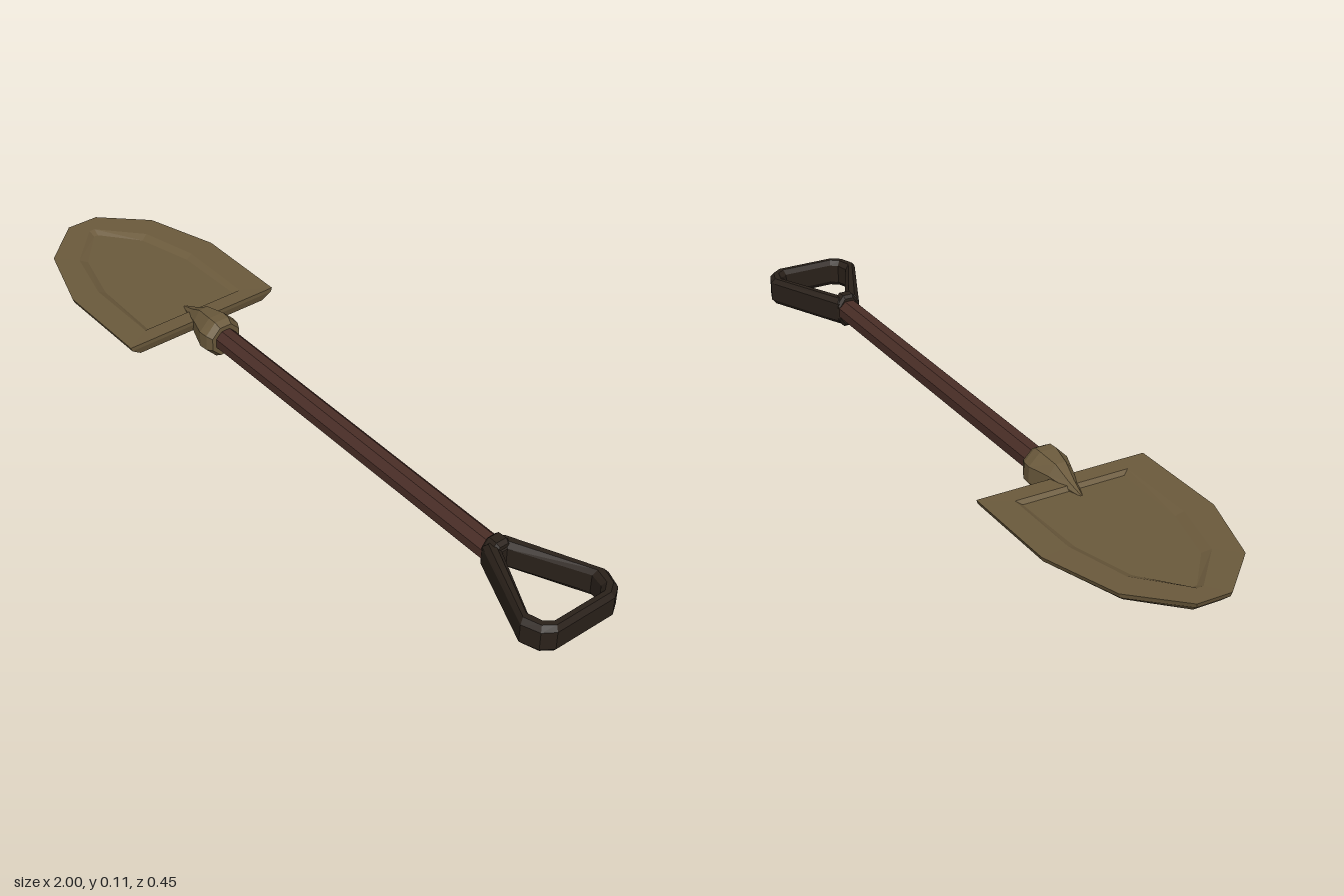
import * as THREE from 'three';

const AXIS = 0.055; // height of the shaft's centre line

const mat = (color) => new THREE.MeshStandardMaterial({ color, flatShading: true, roughness: 0.8 });

// Faceted skin through equal-length rings; either capped at both ends or joined into a loop
function loft(rings, loop = false) {
  const pos = [];
  const tri = (a, b, c) => pos.push(...a, ...b, ...c);
  const n = rings[0].length;
  const spans = loop ? rings.length : rings.length - 1;
  for (let k = 0; k < spans; k++) {
    const r0 = rings[k], r1 = rings[(k + 1) % rings.length];
    for (let i = 0; i < n; i++) {
      const j = (i + 1) % n;
      tri(r0[i], r1[i], r1[j]);
      tri(r0[i], r1[j], r0[j]);
    }
  }
  if (!loop) {
    const cap = (ring, flip) => {
      const mid = [0, 1, 2].map((k) => ring.reduce((s, p) => s + p[k], 0) / n);
      ring.forEach((p, i) => {
        const q = ring[(i + 1) % n];
        flip ? tri(mid, q, p) : tri(mid, p, q);
      });
    };
    cap(rings[0], false);
    cap(rings[rings.length - 1], true);
  }
  const geo = new THREE.BufferGeometry();
  geo.setAttribute('position', new THREE.Float32BufferAttribute(pos, 3));
  geo.computeVertexNormals();
  return geo;
}

// Mirror half an outline of [x, z] points across z = 0
const mirrored = (half) => [...half, ...half.map(([x, z]) => [x, -z]).reverse()];

// Eight-sided ring around the shaft axis
function axisRing(x, ry, rz) {
  return Array.from({ length: 8 }, (_, i) => {
    const a = (i * Math.PI) / 4 + Math.PI / 8;
    const s = 1 / Math.cos(Math.PI / 8);
    return [x, AXIS + ry * s * Math.cos(a), -rz * s * Math.sin(a)];
  });
}

export function createModel() {
  const model = new THREE.Group();
  const metal = mat(0x6b5a3c), wood = mat(0x4a2e27), dark = mat(0x2a211a);
  const add = (name, geo, material) => {
    const mesh = new THREE.Mesh(geo, material);
    mesh.name = name;
    model.add(mesh);
    return mesh;
  };

  // Blade: bevelled underside, flat rim and a shallow dished top
  const bladeLevels = [
    [0.037, [[-0.415, 0.195], [-0.68, 0.195], [-0.87, 0.14], [-0.975, 0.035]]],
    [0.057, [[-0.41, 0.222], [-0.69, 0.222], [-0.89, 0.158], [-0.997, 0.043]]],
    [0.068, [[-0.41, 0.226], [-0.69, 0.226], [-0.89, 0.162], [-1, 0.045]]],
    [0.067, [[-0.455, 0.152], [-0.68, 0.152], [-0.84, 0.11], [-0.95, 0.008]]],
    [0.058, [[-0.465, 0.137], [-0.675, 0.132], [-0.83, 0.09], [-0.93, 0.006]]],
  ];
  add('blade', loft(bladeLevels.map(([y, half]) => mirrored(half).map(([x, z]) => [x, y, z]))), metal);

  // Socket: swells from a point on the blade to the shaft
  const socketRings = [
    [-0.495, 0.004, 0.004], [-0.45, 0.021, 0.018], [-0.405, 0.044, 0.033],
    [-0.35, 0.053, 0.052], [-0.325, 0.052, 0.05], [-0.308, 0.042, 0.042],
  ];
  add('socket', loft(socketRings.map((r) => axisRing(...r))), metal);

  // Shaft
  add('shaft', loft([axisRing(-0.32, 0.03, 0.03), axisRing(0.72, 0.03, 0.03)]), wood);

  // Collar where the shaft enters the grip
  add('gripCollar', loft([
    axisRing(0.7, 0.038, 0.028), axisRing(0.708, 0.046, 0.034),
    axisRing(0.732, 0.046, 0.036), axisRing(0.742, 0.038, 0.03),
  ]), dark);

  // D-shaped grip: chamfered band between an outer and an inner outline
  const outer = mirrored([[0.705, 0.032], [0.935, 0.132], [0.98, 0.115], [1, 0.085]]);
  const inner = mirrored([[0.745, 0.008], [0.92, 0.096], [0.955, 0.088], [0.97, 0.07]]);
  const section = [
    [0, -0.025], [0, 0.025], [0.3, 0.038], [0.7, 0.038],
    [1, 0.025], [1, -0.025], [0.7, -0.038], [0.3, -0.038],
  ]; // [outer-to-inner fraction, height]
  const gripRings = outer.map(([ox, oz], i) => section.map(([t, h]) => [
    ox + (inner[i][0] - ox) * t, AXIS + h, oz + (inner[i][1] - oz) * t,
  ]));
  add('grip', loft(gripRings, true), dark);

  return model;
}
